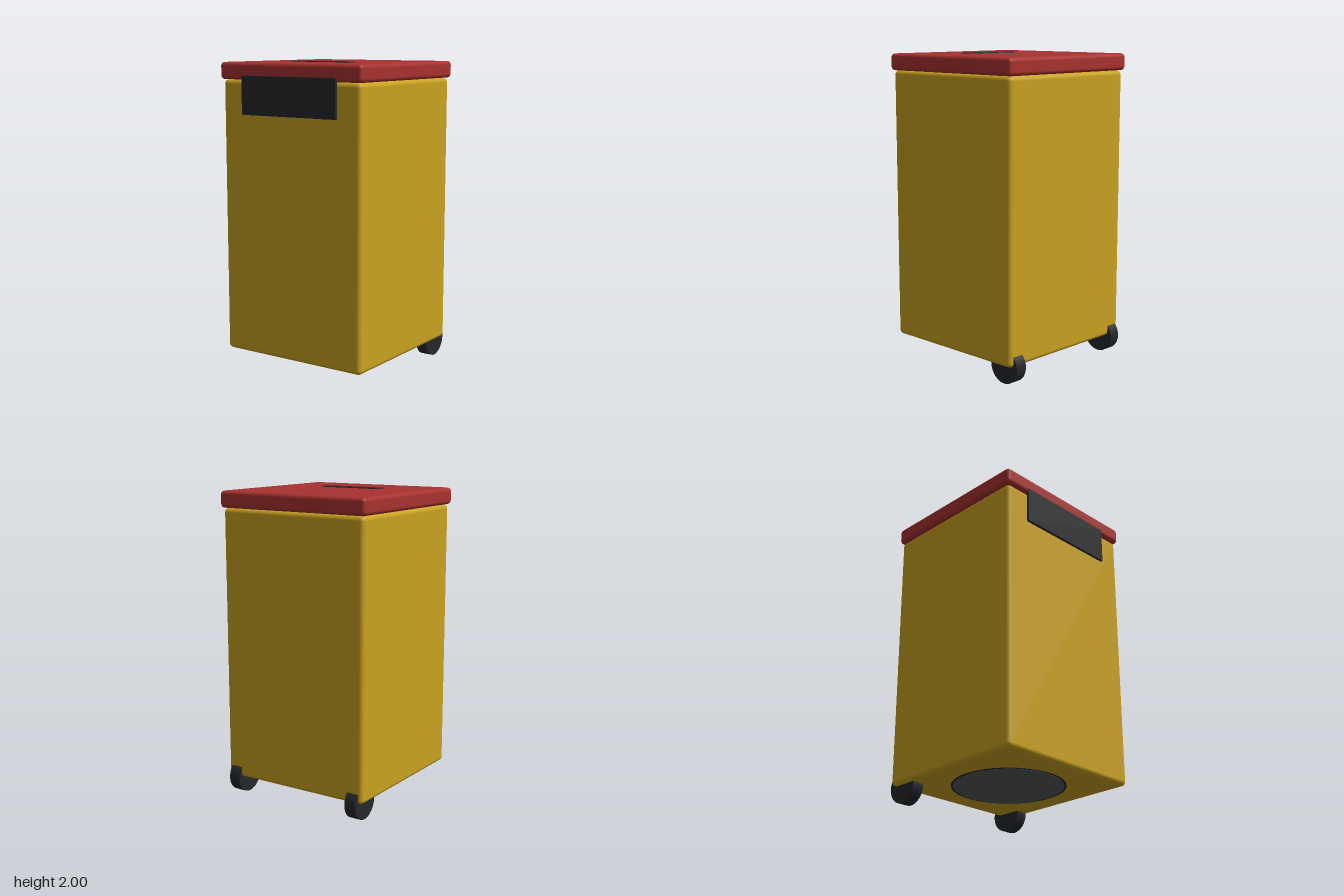
import * as THREE from 'three';
import { RoundedBoxGeometry } from 'three/addons/geometries/RoundedBoxGeometry.js';

const paint = (color) => new THREE.MeshStandardMaterial({ color });

export function createModel() {
  const group = new THREE.Group();
  const yellow = paint(0xc9a221), red = paint(0xa8322f), dark = paint(0x25272b), grey = paint(0x55575a);

  const add = (name, geometry, material, x, y, z) => {
    const mesh = new THREE.Mesh(geometry, material);
    mesh.name = name;
    mesh.position.set(x, y, z);
    group.add(mesh);
    return mesh;
  };

  // Bin body and overhanging lid, both with softly rounded edges
  add('body', new RoundedBoxGeometry(1.05, 1.77, 1.05, 4, 0.03), yellow, 0, 1.002, 0.005);
  add('lid', new RoundedBoxGeometry(1.08, 0.108, 1.08, 4, 0.025), red, 0, 1.941, 0.005);

  // Grip strip let into the lid, and the plate hanging over the front
  add('lidHandle', new RoundedBoxGeometry(0.44, 0.03, 0.084, 2, 0.005), dark, 0, 1.985, 0.168);
  add('frontPlate', new RoundedBoxGeometry(0.72, 0.246, 0.018, 2, 0.005), dark, 0, 1.791, 0.541);

  // Two rear wheels
  const wheel = new THREE.CylinderGeometry(0.11, 0.11, 0.08, 32).rotateZ(Math.PI / 2);
  for (const side of [1, -1]) {
    add(side > 0 ? 'leftWheel' : 'rightWheel', wheel, dark, side * 0.455, 0.11, -0.44);
  }

  // Round base plate with a dark rim, set flat under the body
  add('baseRim', new THREE.CylinderGeometry(0.363, 0.363, 0.01, 48), dark, 0, 0.12, 0.005);
  add('basePlate', new THREE.CylinderGeometry(0.348, 0.348, 0.01, 48), grey, 0, 0.118, 0.005);

  return group;
}
